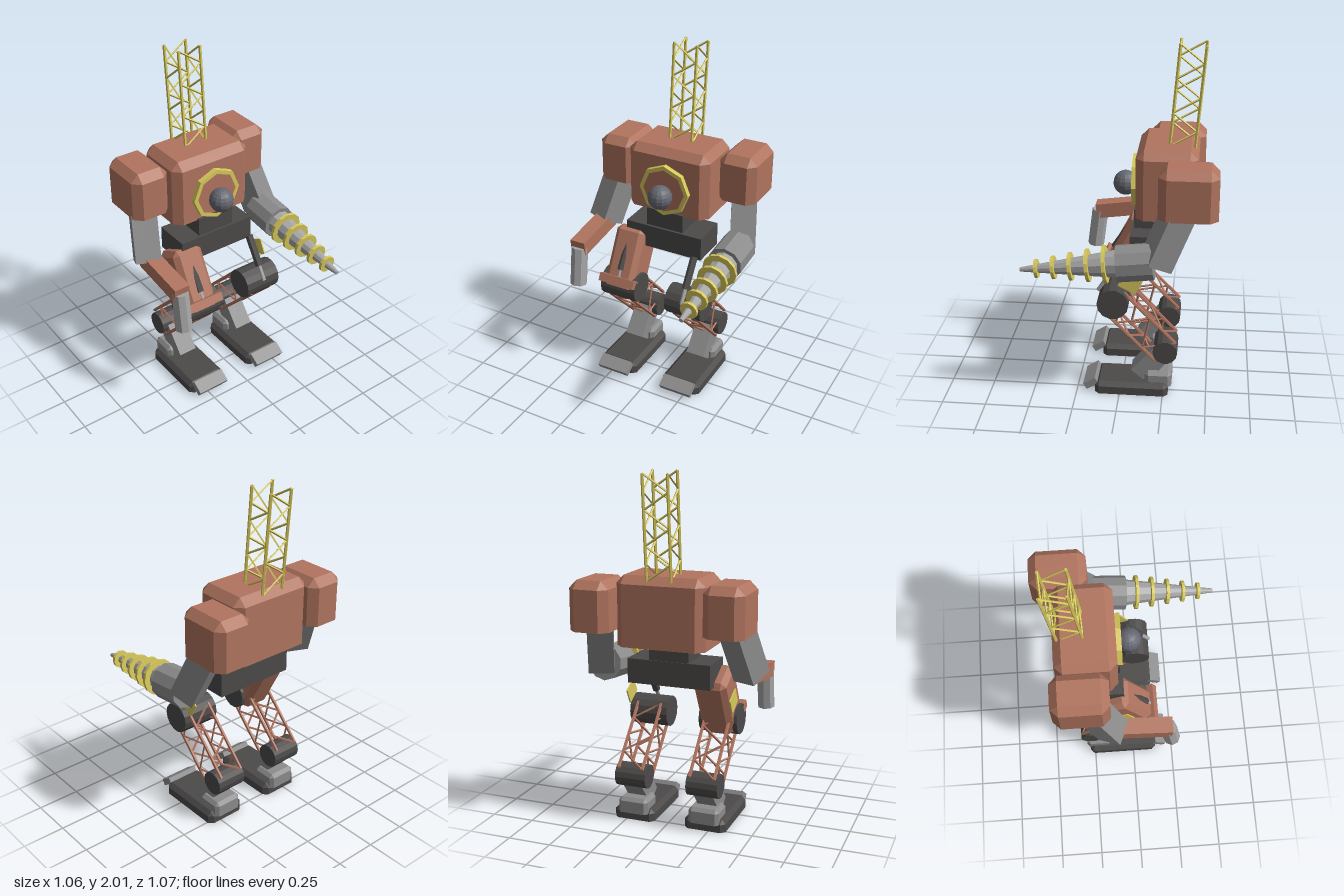
import * as THREE from 'three';
import { ConvexGeometry } from 'three/addons/geometries/ConvexGeometry.js';

const mat = (color) => new THREE.MeshStandardMaterial({ color, flatShading: true });
const RUST = mat(0xb0745f), YELLOW = mat(0xd8c95c), DARK = mat(0x4c4a49);
const GREY = mat(0x8c8c8c), STEEL = mat(0xa6a6a6), GLASS = mat(0x666872);
const MID = -0.01; // x of the mirror plane
const V = (x, y, z) => new THREE.Vector3(x, y, z);

function add(parent, name, geometry, material, pos = [0, 0, 0], rx = 0) {
  const m = new THREE.Mesh(geometry, material);
  m.name = name;
  m.position.set(...pos);
  m.rotation.x = rx;
  parent.add(m);
  return m;
}

const box = (w, h, d) => new THREE.BoxGeometry(w, h, d);

// Box with cut vertical and top edges and a flat bottom
function cutBox(w, h, d, c) {
  const pts = [];
  for (const sx of [-1, 1]) for (const sz of [-1, 1]) {
    const x = sx * w / 2, z = sz * d / 2, xi = x - sx * c, zi = z - sz * c;
    pts.push(V(xi, h / 2, zi));
    for (const y of [h / 2 - c, -h / 2]) pts.push(V(x, y, zi), V(xi, y, z));
  }
  return new ConvexGeometry(pts);
}

// Mesh whose local z axis runs from a to b
function between(parent, name, a, b, material, makeGeometry) {
  const m = add(parent, name, makeGeometry(a.distanceTo(b)), material);
  m.position.copy(a).add(b).multiplyScalar(0.5);
  m.up.set(0, 1, 0);
  const p = m.position.clone();
  m.quaternion.setFromRotationMatrix(new THREE.Matrix4().lookAt(b, p, m.up));
  return m;
}

const beam = (parent, name, a, b, w, h, material) =>
  between(parent, name, a, b, material, (len) => box(w, h, len));

// Cylinder from a (radius ra) to b (radius rb)
const rod = (parent, name, a, b, ra, rb, sides, material) =>
  between(parent, name, a, b, material, (len) =>
    new THREE.CylinderGeometry(rb, ra, len, sides).rotateX(Math.PI / 2));

// Four-rail lattice with opposed zigzag bracing on opposite faces
function lattice(parent, name, a, b, w, d, bays, r, material) {
  const g = new THREE.Group();
  g.name = name;
  const len = a.distanceTo(b);
  g.position.copy(a);
  g.quaternion.setFromRotationMatrix(new THREE.Matrix4().lookAt(b, a, V(0, 1, 0)));
  const corners = [[-1, -1], [1, -1], [1, 1], [-1, 1]];
  const at = (i, t) => V(corners[i % 4][0] * w / 2, corners[i % 4][1] * d / 2, t * len);
  for (let i = 0; i < 4; i++) {
    rod(g, 'rail', at(i, 0), at(i, 1), r, r, 5, material);
    for (let k = 0; k < bays; k++) {
      const s = k % 2;
      rod(g, 'brace', at(i + s, k / bays), at(i + 1 - s, (k + 1) / bays), r * 0.65, r * 0.65, 4, material);
    }
  }
  parent.add(g);
}

function buildLeg(side) {
  const leg = new THREE.Group();
  leg.name = side > 0 ? 'leftLeg' : 'rightLeg';
  leg.position.x = MID + side * 0.215;
  const tilt = 0.49;
  const knee = V(0, 0.578, 0.037), ankle = V(0, 0.27, -0.26);
  const drum = (name, c, r, w) => {
    const m = add(leg, name, new THREE.CylinderGeometry(r, r, w, 14), DARK, c.toArray());
    m.rotation.z = Math.PI / 2;
  };
  drum('kneeJoint', knee, 0.09, 0.23);
  drum('ankleJoint', ankle, 0.07, 0.185);

  // Only the right thigh carries its casing and knee plate
  if (side < 0) {
    const casing = cutBox(0.19, 0.37, 0.21, 0.03);
    add(leg, 'thigh', casing, RUST, [0, 0.718, -0.045], -tilt);
    add(leg, 'kneePlate', box(0.23, 0.05, 0.06), RUST, [0, 0.632, 0.112], -tilt);
  }
  add(leg, 'thighPanel', box(0.008, 0.095, 0.11), YELLOW, [side * 0.098, 0.71, -0.062], -tilt);

  // Piston in front of the thigh
  rod(leg, 'pistonSleeve', V(0, 0.85, -0.025), V(0, 0.69, 0.08), 0.023, 0.023, 8, DARK);
  rod(leg, 'pistonRod', V(0, 0.69, 0.08), V(0, 0.61, 0.13), 0.012, 0.012, 8, STEEL);

  lattice(leg, 'shinLattice', knee, ankle, 0.145, 0.165, 4, 0.01, RUST);

  // Ankle strut and foot
  beam(leg, 'ankleStrut', ankle, V(0, 0.09, -0.11), 0.115, 0.12, GREY);
  add(leg, 'heelBlock', cutBox(0.18, 0.09, 0.155, 0.02), GREY, [0, 0.09, -0.222]);
  add(leg, 'foot', cutBox(0.245, 0.072, 0.425, 0.025), DARK, [0, 0.036, -0.068]);
  add(leg, 'toe', box(0.2, 0.04, 0.08), GREY, [0, 0.05, 0.168], 0.56);
  return leg;
}

function buildDrill() {
  const g = new THREE.Group();
  g.name = 'drill';
  const at = (z) => V(0.41, 0.878 - 0.11 * z, z);
  rod(g, 'drillBody', at(-0.195), at(0), 0.103, 0.103, 10, GREY);
  rod(g, 'drillCone', at(0), at(0.533), 0.078, 0.012, 10, STEEL);
  for (let i = 0; i < 5; i++) {
    const z = 0.065 + i * 0.094, r = 0.104 - i * 0.0132;
    rod(g, 'drillRing', at(z - 0.009), at(z + 0.009), r, r, 12, YELLOW);
  }
  return g;
}

export function createModel() {
  const model = new THREE.Group();
  model.name = 'walkingMachine';

  // Body
  add(model, 'torso', cutBox(0.51, 0.39, 0.34, 0.045), RUST, [MID, 1.255, -0.25]);
  add(model, 'waist', box(0.233, 0.12, 0.2), DARK, [MID, 1.01, -0.165]);
  add(model, 'pelvis', box(0.488, 0.14, 0.22), DARK, [MID, 0.89, -0.16]);

  // Eye and its octagonal frame
  const polygon = (S, r) => {
    const s = new S();
    for (let i = 0; i < 8; i++) {
      const a = i * Math.PI / 4;
      s[i ? 'lineTo' : 'moveTo'](r * Math.sin(a), r * Math.cos(a));
    }
    s.closePath();
    return s;
  };
  const frame = polygon(THREE.Shape, 0.155);
  frame.holes.push(polygon(THREE.Path, 0.13));
  add(model, 'eyeFrame', new THREE.ExtrudeGeometry(frame, { depth: 0.03, bevelEnabled: false }),
    YELLOW, [MID, 1.21, -0.08]);
  add(model, 'eye', new THREE.SphereGeometry(0.071, 14, 10), GLASS, [MID, 1.19, -0.008]);

  // Lattice mast
  lattice(model, 'mast', V(MID, 1.43, -0.325), V(MID, 1.995, -0.372), 0.14, 0.14, 6, 0.009, YELLOW);

  // Shoulders and upper arms; the left one sits further back
  for (const side of [-1, 1]) {
    const x = MID + side * 0.365, z = side > 0 ? -0.375 : -0.293;
    add(model, 'shoulder', cutBox(0.23, 0.277, 0.32, 0.045), RUST, [x, 1.288, z]);
    beam(model, 'upperArm', V(x, 1.26, z + 0.012), V(x + side * 0.07, 0.885, z + 0.17), 0.145, 0.145, GREY);
  }

  // Right forearm and hand
  beam(model, 'forearm', V(-0.435, 0.895, -0.14), V(-0.435, 0.85, 0.21), 0.095, 0.09, RUST);
  rod(model, 'hand', V(-0.435, 0.85, 0.19), V(-0.435, 0.615, 0.22), 0.05, 0.05, 8, STEEL);

  // Left forearm is a drill
  model.add(buildDrill());

  for (const side of [-1, 1]) model.add(buildLeg(side));
  return model;
}
